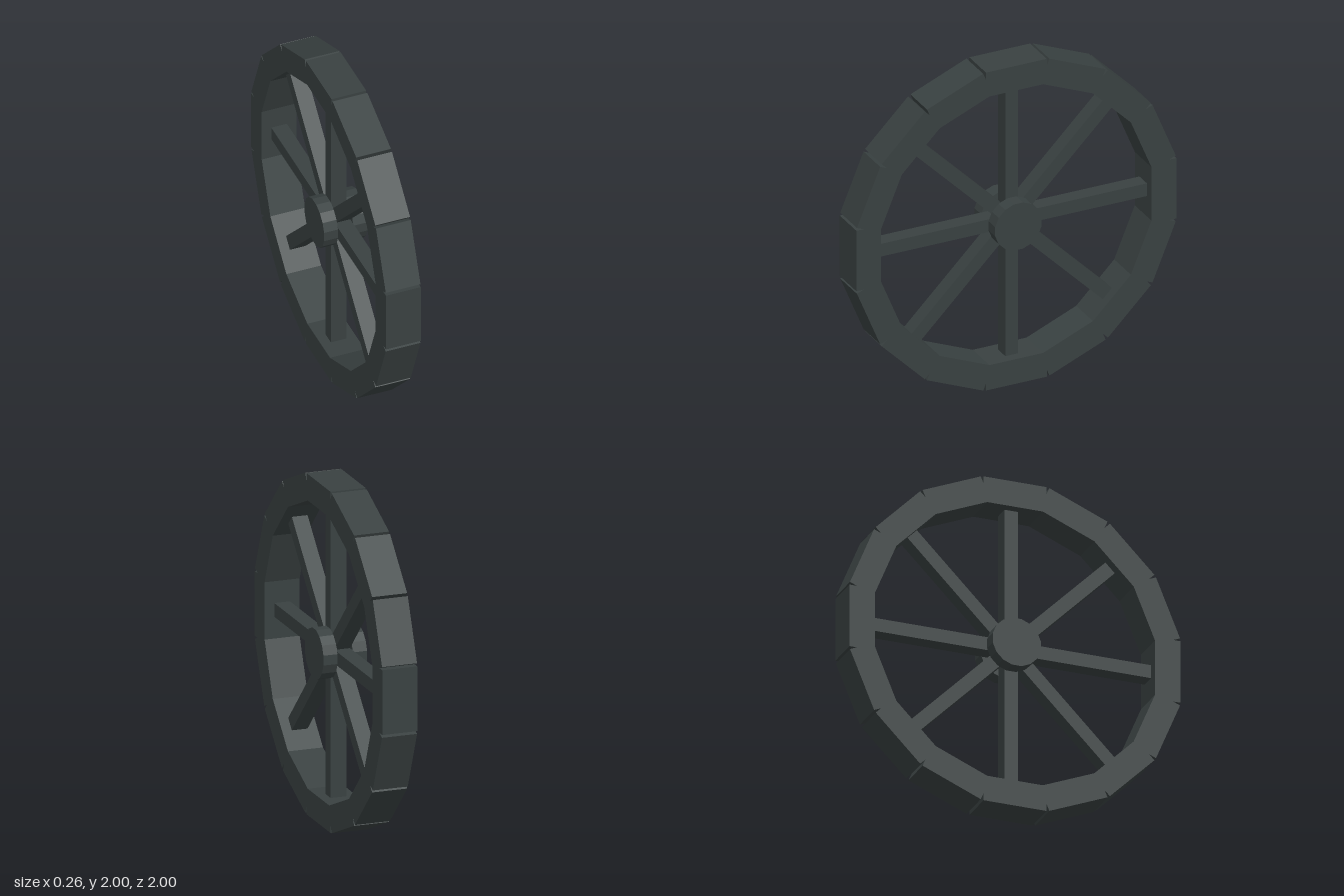
import * as THREE from 'three';

const SEGMENTS = 16;
const INNER = 0.845, OUTER = 1.0;

export function createModel() {
  const slate = new THREE.MeshStandardMaterial({ color: 0x394141 });
  slate.name = 'dark slate';

  const wheel = new THREE.Group();
  wheel.name = 'wheel';
  wheel.position.y = 1;

  const add = (parent, name, geometry) => {
    const mesh = new THREE.Mesh(geometry, slate);
    mesh.name = name;
    parent.add(mesh);
    return mesh;
  };

  // Rim: straight blocks whose outer corners leave small notches
  const rim = new THREE.Group();
  rim.name = 'rim';
  wheel.add(rim);
  const block = new THREE.BoxGeometry(0.21, OUTER - INNER, 0.38);
  block.translate(0, (OUTER + INNER) / 2, 0);
  for (let i = 0; i < SEGMENTS; i++) {
    add(rim, 'rimBlock', block).rotation.x = (i / SEGMENTS) * Math.PI * 2;
  }

  // Spokes: four bars crossing at the centre
  const spokes = new THREE.Group();
  spokes.name = 'spokes';
  wheel.add(spokes);
  const bar = new THREE.BoxGeometry(0.094, INNER * 2 + 0.01, 0.08);
  for (let i = 0; i < 4; i++) {
    add(spokes, 'spokeBar', bar).rotation.x = (i * Math.PI) / 4;
  }

  // Hub: a faceted disc on each side of the spokes
  const disc = new THREE.CylinderGeometry(0.148, 0.148, 0.085, 16).toNonIndexed();
  disc.rotateZ(Math.PI / 2);
  disc.rotateX(Math.PI / 16);
  disc.computeVertexNormals();
  for (const side of [-1, 1]) {
    add(wheel, side > 0 ? 'leftHubDisc' : 'rightHubDisc', disc).position.x = side * 0.0885;
  }

  const model = new THREE.Group();
  model.name = 'spokedWheel';
  model.add(wheel);
  return model;
}
